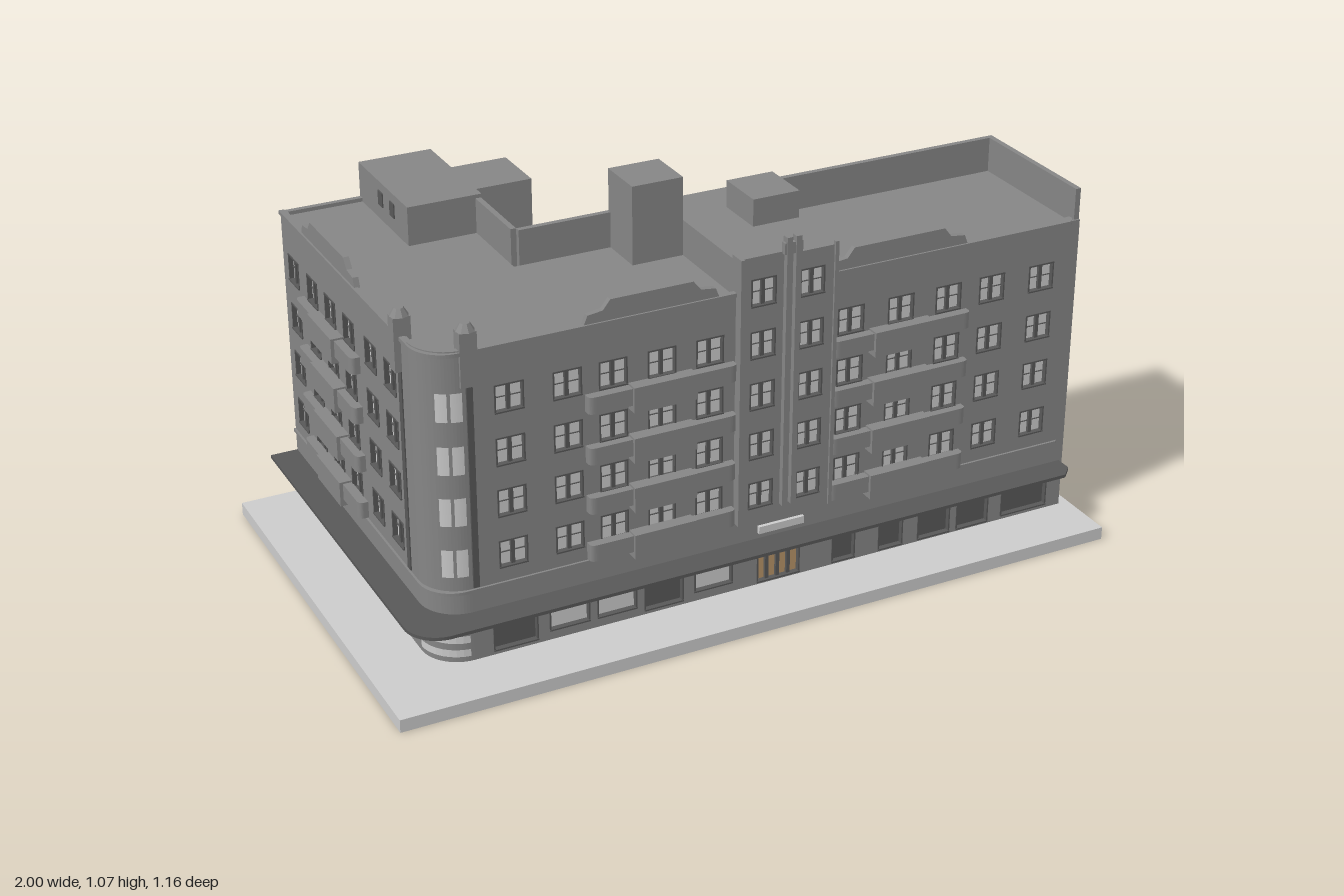
import * as THREE from 'three';
import { mergeGeometries } from 'three/addons/utils/BufferGeometryUtils.js';

const mat = (color) => new THREE.MeshStandardMaterial({ color, flatShading: true });
const GROUND = 0.035, ROOF = 0.86, T = 0.015;
const ROWS = [0.312, 0.452, 0.59, 0.73];

export function createModel() {
  const model = new THREE.Group();
  const stone = mat(0x858585), dark = mat(0x585858), pale = mat(0xcccccc), tan = mat(0xb89468);

  const add = (name, geo, m, parent = model) => {
    const mesh = new THREE.Mesh(geo, m);
    mesh.name = name;
    parent.add(mesh);
    return mesh;
  };
  const boxGeo = (x0, x1, y0, y1, z0, z1) =>
    new THREE.BoxGeometry(x1 - x0, y1 - y0, z1 - z0).translate((x0 + x1) / 2, (y0 + y1) / 2, (z0 + z1) / 2);
  const box = (name, m, ...b) => add(name, boxGeo(...b), m);
  const poly = (pts) => new THREE.Shape(pts.map((p) => new THREE.Vector2(...p)));

  // Upright prism from a plan shape drawn as (x, -z)
  const prism = (name, shape, y0, y1, m, parent) => add(name,
    new THREE.ExtrudeGeometry(shape, { depth: y1 - y0, bevelEnabled: false, curveSegments: 10 })
      .rotateX(-Math.PI / 2).translate(0, y0, 0), m, parent);

  // Wall panel with recessed windows; u runs to the right as seen from outside
  // window: { u, y, w, h, bars, rail, m }
  function facade(name, x, z, angle, outline, windows, t = T) {
    const g = new THREE.Group();
    g.name = name;
    const shape = poly(outline), bars = [], panes = new Map();
    for (const { u, y, w, h, bars: n = 0, rail = true, m = pale } of windows) {
      const [a, b, c, d] = [u - w / 2, u + w / 2, y - h / 2, y + h / 2];
      shape.holes.push(new THREE.Path([[a, c], [a, d], [b, d], [b, c]].map((p) => new THREE.Vector2(...p))));
      if (!panes.has(m)) panes.set(m, []);
      panes.get(m).push(boxGeo(a, b, c, d, 0, t - 0.011));
      // Frame, mullions and rail
      const f = 0.004;
      bars.push(boxGeo(a, a + f, c, d, 0, t + 0.002), boxGeo(b - f, b, c, d, 0, t + 0.002),
        boxGeo(a, b, d - f, d, 0, t + 0.002), boxGeo(a, b, c, c + f, 0, t + 0.004));
      if (rail) bars.push(boxGeo(a, b, y - 0.001, y + 0.001, 0, t - 0.008));
      for (let i = 1; i <= n; i++) {
        const k = a + (w * i) / (n + 1);
        bars.push(boxGeo(k - 0.005, k + 0.005, c, d, 0, t - 0.003));
      }
    }
    add(name + 'Wall', new THREE.ExtrudeGeometry(shape, { depth: t, bevelEnabled: false }), stone, g);
    for (const [m, list] of panes) add(name + 'Panes', mergeGeometries(list), m, g);
    if (bars.length) add(name + 'Frames', mergeGeometries(bars), dark, g);
    g.position.set(x, 0, z);
    g.rotation.y = angle;
    model.add(g);
  }
  const grid = (cols, rows, w, h, bars = 0) =>
    cols.flatMap((u) => rows.map((y) => ({ u, y, w, h, bars })));
  // Stepped crest along the parapet, from right to left
  const crest = (c, r, base = 0.87) => [[c + r + 0.05, base], [c + r + 0.04, base + 0.025], [c + r, base + 0.03],
    [c + r - 0.02, base + 0.055], [c - r + 0.02, base + 0.055], [c - r, base + 0.03],
    [c - r - 0.04, base + 0.025], [c - r - 0.05, base]];

  // Plot and yard
  box('plotSlab', pale, -1, 1, 0, GROUND, -0.58, 0.58);
  box('yardPaving', stone, -0.42, 0.97, GROUND, GROUND + 0.003, -0.56, 0);

  // L-shaped core with rounded street corner; the lower part leaves a rear niche
  const core = (niche) => {
    const s = new THREE.Shape();
    s.moveTo(0.955, -0.405);
    s.lineTo(0.955, -0.015);
    s.lineTo(-0.435, -0.015);
    if (niche) { s.lineTo(-0.435, 0.43); s.lineTo(-0.8, 0.43); s.lineTo(-0.8, 0.545); }
    else s.lineTo(-0.435, 0.545);
    s.lineTo(-0.825, 0.545);
    s.lineTo(-0.825, -0.32);
    s.absarc(-0.74, -0.32, 0.085, Math.PI, Math.PI * 1.5, false);
    return s;
  };
  prism('groundFloorCore', core(true), GROUND, 0.23, stone);
  prism('upperCore', core(false), 0.23, ROOF, stone);
  box('nicheDoor', dark, -0.56, -0.5, GROUND, 0.14, -0.434, -0.428);

  // Curved corner wall
  const ring = new THREE.Shape();
  ring.absarc(-0.74, -0.32, 0.1, Math.PI, Math.PI * 1.5, false);
  ring.absarc(-0.74, -0.32, 0.085, Math.PI * 1.5, Math.PI, true);
  prism('cornerWall', ring, GROUND, 0.875, stone);
  const arc = (name, y, h, a0, a1, m, r = 0.102) => add(name,
    new THREE.CylinderGeometry(r, r, h, 8, 1, true, a0, a1 - a0).translate(-0.74, y, 0.32), m).material.side = THREE.DoubleSide;
  const glass = mat(0xcccccc);
  for (const y of ROWS) for (const a of [-0.72, -0.36]) arc('cornerWindow', y, 0.075, a, a + 0.28, glass);
  for (let i = 0; i < 3; i++) arc('cornerLouvre', 0.06 + i * 0.038, 0.02, -1.5, -0.1, glass);

  // Street front with shop windows
  const shop = (px0, px1, y0, y1, m) => ({ u: (px0 + px1) / 2, y: (y0 + y1) / 2, w: px1 - px0, h: y1 - y0, rail: false, m });
  const shops = [
    shop(-0.69, -0.57, 0.045, 0.14, dark), shop(-0.54, -0.43, 0.06, 0.14, pale), shop(-0.41, -0.3, 0.06, 0.14, pale),
    shop(-0.28, -0.17, 0.045, 0.14, dark), shop(-0.14, -0.03, 0.06, 0.14, pale), shop(0.26, 0.33, 0.04, 0.135, dark),
    shop(0.4, 0.475, 0.04, 0.155, dark), shop(0.52, 0.62, 0.04, 0.125, dark), shop(0.64, 0.74, 0.04, 0.125, dark),
    shop(0.78, 0.925, 0.045, 0.135, dark),
    { ...shop(0.04, 0.165, 0.04, 0.14, tan), bars: 3 },
  ];
  facade('streetFront', 0, 0.405, 0,
    [[-0.74, GROUND], [0.97, GROUND], [0.97, 0.87], ...crest(0.43, 0.15), ...crest(-0.255, 0.13), [-0.74, 0.87]],
    [...shops, ...grid([-0.63, -0.48, -0.36, -0.23, -0.1, 0.295, 0.44, 0.58, 0.71, 0.86], ROWS, 0.076, 0.075, 1)]);
  box('entranceSign', pale, 0.04, 0.17, 0.188, 0.208, 0.42, 0.43);

  // Central tower
  facade('tower', 0, 0.4, 0,
    [[-0.03, 0.235], [0.24, 0.235], [0.24, 0.955], [0.13, 0.955], [0.13, 0.965], [-0.03, 0.965]],
    grid([0.035, 0.17], [...ROWS, 0.87], 0.07, 0.075, 1), 0.04);
  box('towerTop', stone, -0.03, 0.24, ROOF, 0.955, 0, 0.41);
  for (const x of [0.09, 0.115]) box('towerFin', stone, x, x + 0.015, 0.27, 1.005, 0.435, 0.455);
  box('towerFinCap', stone, 0.085, 0.135, 0.96, 0.99, 0.437, 0.452);
  for (const x of [-0.03, 0.23]) box('towerEdge', stone, x, x + 0.01, 0.235, 0.965, 0.435, 0.446);

  // Left side, facing -x (u = z)
  facade('leftSide', -0.825, 0, -Math.PI / 2,
    [[-0.56, GROUND], [0.32, GROUND], [0.32, 0.87], ...crest(-0.21, 0.14), [-0.56, 0.87]],
    [...grid([-0.48, -0.34, -0.21, -0.08, 0.07, 0.2], ROWS, 0.076, 0.075, 1),
      shop(-0.53, -0.44, 0.05, 0.145, dark), shop(-0.4, -0.2, 0.055, 0.14, pale),
      shop(-0.17, 0.03, 0.055, 0.14, pale), shop(0.06, 0.26, 0.055, 0.14, pale)]);

  // Yard side of the front wing (u = -x)
  facade('yardWall', 0, 0.015, Math.PI, [[-0.97, GROUND], [0.42, GROUND], [0.42, 0.955], [-0.97, 0.955]],
    [...grid([-0.917, -0.82, -0.72, -0.58, -0.436, 0.1, 0.36], ROWS, 0.052, 0.075),
      ...grid([-0.335, -0.29, 0.25], ROWS, 0.022, 0.025), ...grid([-0.22], ROWS, 0.022, 0.06)]);
  // Yard side of the left wing (u = -z)
  facade('wingYardWall', -0.435, 0, Math.PI / 2,
    [[0, GROUND], [0.43, GROUND], [0.43, 0.23], [0.56, 0.23], [0.56, 0.955], [0, 0.955]],
    [...grid([0.078, 0.177], ROWS, 0.05, 0.077), ...grid([0.247], ROWS, 0.022, 0.06), ...grid([0.49], ROWS, 0.058, 0.077)]);
  facade('wingEndWall', 0, -0.545, Math.PI,
    [[0.42, 0.23], [0.8, 0.23], [0.8, GROUND], [0.84, GROUND], [0.84, 0.87], [0.42, 0.87]], []);
  box('endWall', stone, 0.955, 0.97, GROUND, 0.955, 0, 0.415);

  // Stair shaft and roof rooms
  box('stairShaft', stone, -0.425, -0.26, GROUND, 0.96, -0.43, -0.265);
  box('wingRoofRoom', stone, -0.62, -0.418, ROOF, 0.965, -0.562, -0.22);
  for (const z of [-0.42, -0.34]) box('roofRoomWindow', dark, -0.623, -0.61, 0.9, 0.94, z, z + 0.03);
  box('liftRoom', stone, -0.17, -0.03, ROOF, 1.07, 0.005, 0.14);
  box('waterTankRoom', stone, 0.105, 0.235, 0.95, 1.027, 0.115, 0.255);

  // Canopy and string course following the street corner
  const strip = (out, x1, z0) => {
    const s = new THREE.Shape(), X = -0.84 - out, Z = 0.42 + out, r = 0.09;
    s.moveTo(x1, -0.41);
    s.lineTo(-0.74, -0.41);
    s.absarc(-0.74, -0.32, 0.09, Math.PI * 1.5, Math.PI, true);
    s.lineTo(-0.83, -z0);
    s.lineTo(X, -z0);
    s.lineTo(X, -(Z - r));
    s.absarc(X + r, -(Z - r), r, Math.PI, Math.PI * 1.5, false);
    s.lineTo(x1 - 0.03, -Z);
    s.lineTo(x1, -Z + 0.03);
    return s;
  };
  prism('canopy', strip(0.075, 0.96, -0.56), 0.162, 0.171, dark);
  prism('stringCourse', strip(0.006, 0.97, -0.56), 0.228, 0.236, stone);
  prism('parapetCoping', strip(0.005, 0.97, -0.56), 0.862, 0.872, stone);

  // Balconies with a bulging, deeper middle
  function balcony(x, y, z, angle, half) {
    const g = new THREE.Group();
    g.name = 'balcony';
    const s = new THREE.Shape();
    s.moveTo(-half, 0);
    s.lineTo(half, 0);
    s.lineTo(half, -0.012);
    s.quadraticCurveTo(half, -0.025, half - 0.02, -0.025);
    s.lineTo(-half + 0.02, -0.025);
    s.quadraticCurveTo(-half, -0.025, -half, -0.012);
    // Reversed y gives the outward side at +z
    prism('balconyFront', s, y, y + 0.045, stone, g);
    add('balconyBulge', boxGeo(-0.085, 0.085, y - 0.018, y + 0.05, 0, 0.034), stone, g);
    g.position.set(x, 0, z);
    g.rotation.y = angle;
    model.add(g);
  }
  for (const y of [0.24, 0.372, 0.508, 0.645]) {
    balcony(-0.235, y, 0.42, 0, 0.2);
    balcony(0.435, y, 0.42, 0, 0.2);
    balcony(-0.84, y, -0.21, -Math.PI / 2, 0.2);
  }

  // Pinnacles flanking the rounded corner
  for (const [x, z] of [[-0.73, 0.415], [-0.835, 0.27]]) {
    box('pinnacle', stone, x - 0.022, x + 0.022, 0.78, 0.92, z - 0.022, z + 0.012);
    add('pinnacleCap', new THREE.CylinderGeometry(0.012, 0.024, 0.02, 8).translate(x, 0.93, z - 0.005), stone);
    box('pinnacleStem', dark, x - 0.008, x + 0.008, 0.24, 0.78, z - 0.01, z + 0.01);
  }
  return model;
}
